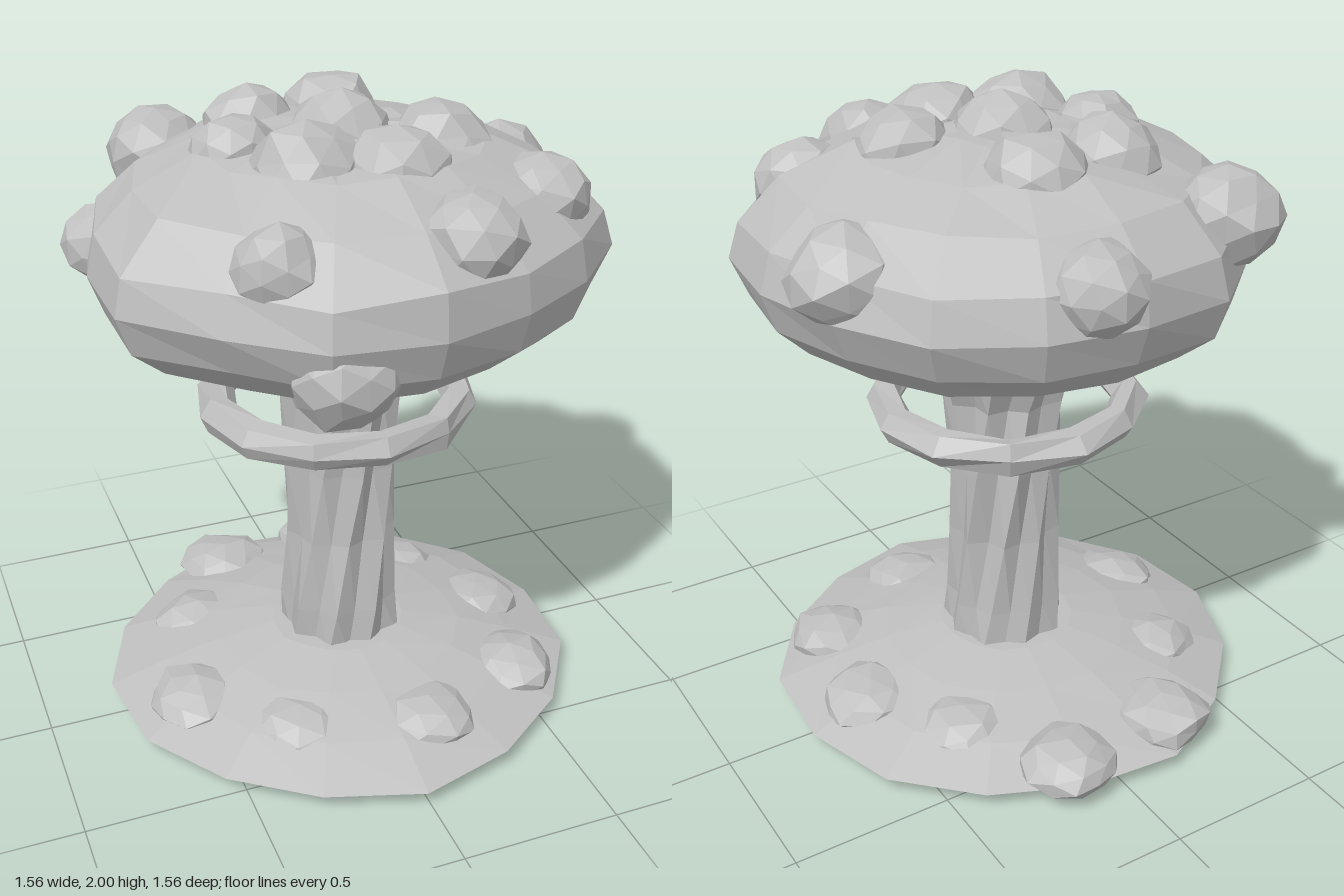
import * as THREE from 'three';

const stone = new THREE.MeshStandardMaterial({ color: 0xbfbfbf, flatShading: true });
stone.name = 'pale grey';

// repeatable noise in -1..1 from a position, so shared corners move together
const noise = (x, y, z, seed) => {
  const n = Math.sin(Math.round(x * 500) * 1.27 + Math.round(y * 500) * 3.11 + Math.round(z * 500) * 7.47 + seed * 5.3) * 4375.85;
  return (n - Math.floor(n)) * 2 - 1;
};

// move every vertex by a rule
function reshape(geo, rule) {
  const p = geo.attributes.position;
  for (let i = 0; i < p.count; i++) {
    const v = rule(p.getX(i), p.getY(i), p.getZ(i));
    p.setXYZ(i, v[0], v[1], v[2]);
  }
  geo.computeVertexNormals();
  return geo;
}

const lathe = (pts, sides) => new THREE.LatheGeometry(pts.map(([r, y]) => new THREE.Vector2(r, y)), sides);

function add(parent, name, geo) {
  const m = new THREE.Mesh(geo, stone);
  m.name = name;
  parent.add(m);
  return m;
}

// faceted, irregular lump
function lump(parent, name, [x, y, z, r], squash, seed) {
  const geo = reshape(new THREE.IcosahedronGeometry(1, 1), (a, b, c) => {
    const k = 1 + 0.09 * noise(a, b, c, seed);
    return [a * k, b * k, c * k];
  });
  const m = add(parent, name, geo);
  m.position.set(x, y, z);
  m.scale.set(r, r * squash, r);
  m.rotation.y = seed * 1.7;
}

// cap outline: radius every 22.5 degrees from the front towards +x
const capOutline = [0.765, 0.735, 0.75, 0.79, 0.77, 0.745, 0.765, 0.745, 0.74, 0.755, 0.725, 0.755, 0.77, 0.82, 0.75, 0.785];

export function createModel() {
  const model = new THREE.Group();
  model.name = 'mushroomCloud';

  // base: shallow dome with a recess underneath
  const base = lathe([[0, 0.16], [0.17, 0.16], [0.29, 0.06], [0.755, 0.06], [0.58, 0.125],
    [0.4, 0.175], [0.22, 0.21], [0, 0.215]], 15);
  add(model, 'baseDome', reshape(base, (x, y, z) => {
    const k = 1 + 0.03 * noise(x, 0, z, 2);
    return [x * k - 0.015, y, z * k];
  }));

  const baseLumps = new THREE.Group();
  baseLumps.name = 'baseLumps';
  model.add(baseLumps);
  [[0.15, -0.63], [-0.23, -0.59], [-0.42, -0.27], [-0.54, 0.12], [-0.28, 0.37],
    [0.11, 0.48], [0.47, 0.33], [0.52, -0.04], [0.34, -0.32]].forEach(([x, z], i) => {
    lump(baseLumps, 'baseLump', [x, 0.092, z, 0.155], 0.53, i + 1);
  });

  // stem: fluted, twisted column that flares into the cap
  const stem = lathe([[0.185, 0.17], [0.18, 0.32], [0.165, 0.57], [0.17, 0.82],
    [0.175, 1.05], [0.21, 1.18], [0.27, 1.29], [0.32, 1.42]], 18);
  add(model, 'stem', reshape(stem, (x, y, z) => {
    const r = Math.hypot(x, z), a = Math.atan2(x, z);
    const flute = Math.round(a / (Math.PI / 9) + 18) % 2 ? -0.1 : 0.08;
    const k = r * (1 + flute + 0.06 * noise(x, y, z, 4)), t = a + 0.9 * y;
    return [k * Math.sin(t) - 0.005, y, k * Math.cos(t)];
  }));

  // ring around the stem
  const ring = new THREE.TorusGeometry(0.385, 0.055, 6, 12);
  ring.rotateX(Math.PI / 2);
  add(model, 'ring', reshape(ring, (x, y, z) => {
    const k = 1 + 0.025 * noise(x, y, z, 6);
    return [x * k - 0.01, y + 0.008 * noise(x, y, z, 7) + 1.03, z * k - 0.01];
  }));

  // cap: wide uneven dome, recessed around the stem
  const cap = lathe([[0, 1.42], [0.37, 1.41], [0.44, 1.29], [0.63, 1.33], [0.73, 1.42], [0.77, 1.54],
    [0.745, 1.66], [0.62, 1.78], [0.42, 1.86], [0.2, 1.895], [0, 1.905]], 16);
  add(model, 'cap', reshape(cap, (x, y, z) => {
    const r = Math.hypot(x, z);
    const side = Math.round(Math.atan2(x, z) / (Math.PI / 8) + 16) % 16;
    const k = (r > 0.5 ? capOutline[side] / 0.77 : 1) * (1 + 0.015 * noise(x, y, z, 9));
    const lift = y > 1.6 && r > 0.1 ? 0.015 * noise(x, y, z, 11) : 0;
    return [x * k, y + lift, z * k];
  }));

  // lumps over the cap: x, y, z, radius
  const capLumps = new THREE.Group();
  capLumps.name = 'capLumps';
  model.add(capLumps);
  [[0, 1.855, 0, 0.165], [-0.18, 1.835, 0.2, 0.165], [0.06, 1.82, 0.27, 0.16], [0.27, 1.825, 0.1, 0.16],
    [0.08, 1.83, -0.29, 0.155], [-0.2, 1.83, -0.26, 0.15], [-0.32, 1.84, -0.02, 0.125],
    [-0.42, 1.71, -0.51, 0.16], [0.1, 1.64, -0.64, 0.145], [0.61, 1.63, -0.21, 0.165],
    [0.48, 1.72, 0.32, 0.15], [-0.36, 1.7, 0.5, 0.13], [0.15, 1.73, 0.56, 0.15],
    [-0.22, 1.42, 0.61, 0.15], [-0.64, 1.54, -0.23, 0.14]]
    .forEach((p, i) => lump(capLumps, 'capLump', p, i === 13 ? 1 : 0.9, i + 20));

  return model;
}
